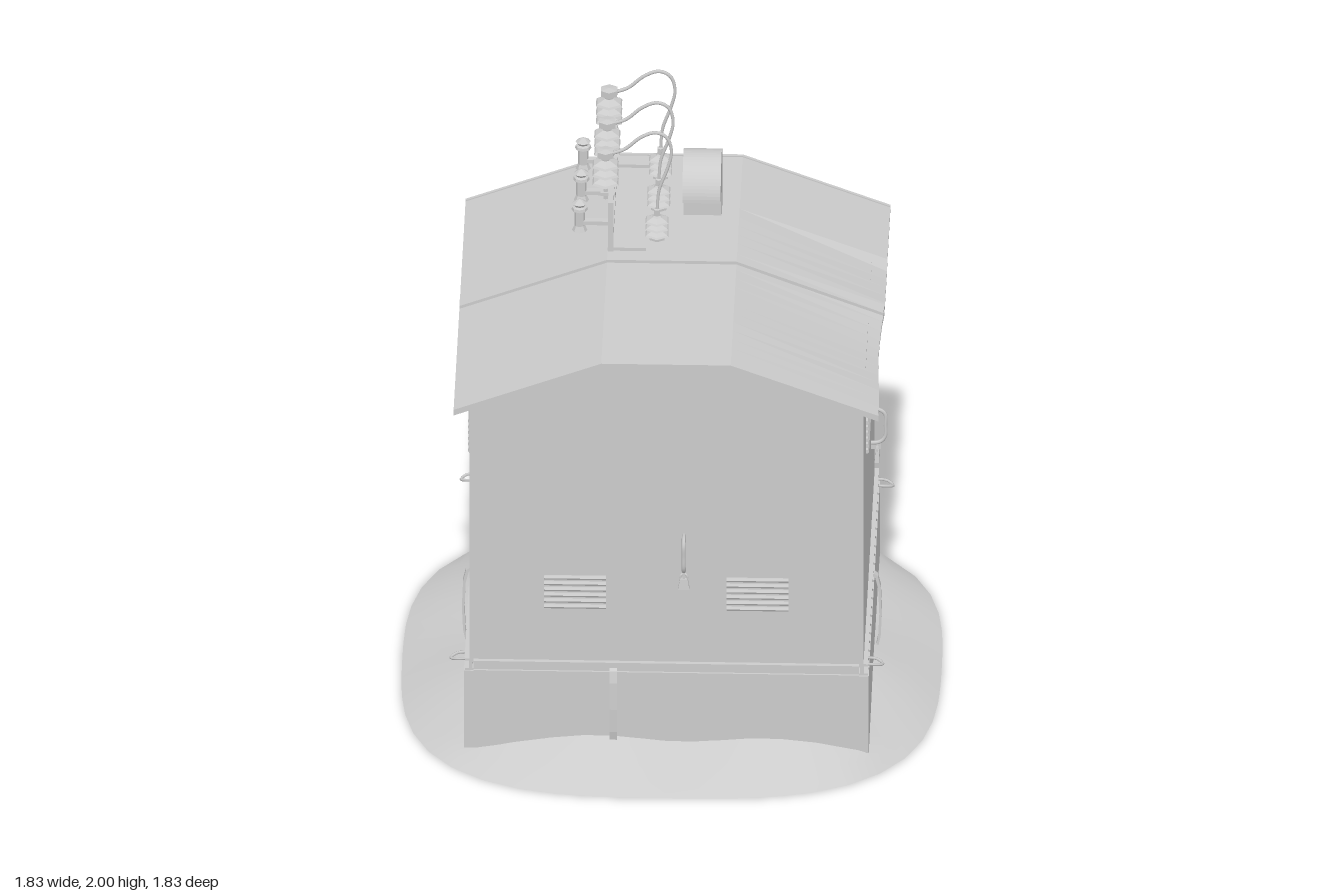
import * as THREE from 'three';

const mat = new THREE.MeshStandardMaterial({ color: 0xcccccc, side: THREE.DoubleSide, flatShading: true });
const smooth = new THREE.MeshStandardMaterial({ color: 0xcccccc, side: THREE.DoubleSide });

function add(parent, name, geo, x = 0, y = 0, z = 0, m = mat) {
  const mesh = new THREE.Mesh(geo, m);
  mesh.name = name;
  mesh.position.set(x, y, z);
  parent.add(mesh);
  return mesh;
}
const box = (p, name, w, h, d, x, y, z) => add(p, name, new THREE.BoxGeometry(w, h, d), x, y, z);

function group(parent, name, x = 0, y = 0, z = 0, ry = 0) {
  const g = new THREE.Group();
  g.name = name;
  g.position.set(x, y, z);
  g.rotation.y = ry;
  parent.add(g);
  return g;
}

function tube(p, name, pts, r, seg = 20, sides = 6) {
  const curve = new THREE.CatmullRomCurve3(pts.map(a => new THREE.Vector3(...a)), false, 'centripetal');
  return add(p, name, new THREE.TubeGeometry(curve, seg, r, sides), 0, 0, 0, smooth);
}
const polygon = pts => new THREE.Shape(pts.map(a => new THREE.Vector2(...a)));

// turned insulator or post: [radius, height] pairs, six or eight sided
function turned(p, name, pts, x, y, z, sides = 6) {
  return add(p, name, new THREE.LatheGeometry(pts.map(a => new THREE.Vector2(...a)), sides), x, y, z);
}

// stack of ribbed discs between two heights
function ribs(y0, n, step, core, radius) {
  const pts = [];
  for (let i = 0; i < n; i++) {
    const y = y0 + i * step;
    pts.push([core, y], [radius, y + step * 0.25], [radius * 0.9, y + step * 0.45], [core, y + step * 0.85]);
  }
  return pts;
}

// bent sheet following the roof profile, running from z0 to z1
function roofSheet(p, name, z0, z1, lift, thick, steps) {
  const top = [[-0.722, 1.393], [-0.22, 1.582], [0.22, 1.582], [0.722, 1.393]].map(([x, y]) => [x, y + lift]);
  const shape = polygon([...top, ...top.map(([x, y]) => [x, y - thick]).reverse()]);
  const geo = new THREE.ExtrudeGeometry(shape, { depth: z1 - z0, steps, bevelEnabled: false });
  geo.translate(0, 0, z0);
  const pos = geo.attributes.position;
  for (let i = 0; i < pos.count; i++) { // buckled eave on one side
    const z = pos.getZ(i);
    if (pos.getX(i) > 0.7 && z > -0.35 && z < 0.6) {
      const s = Math.abs(Math.sin((z + 0.03) * 5.2));
      pos.setY(i, pos.getY(i) - 0.014 * s);
      if (z > 0) pos.setX(i, pos.getX(i) - 0.012 * s);
    }
  }
  geo.computeVertexNormals();
  return add(p, name, geo);
}

// louvred vent, local +z is outward
function vent(parent, width, x, y, z, ry) {
  const g = group(parent, 'vent', x, y, z, ry);
  for (let i = 0; i < 6; i++) {
    const slat = add(g, 'ventSlat', new THREE.CylinderGeometry(0.008, 0.008, width, 6), 0, (i - 2.5) * 0.0225, 0.003);
    slat.rotation.z = Math.PI / 2;
  }
}

// door pull with padlock, local +z is outward
function handle(parent, x, z, ry) {
  const g = group(parent, 'doorHandle', x, 0, z, ry);
  tube(g, 'handleBar', [[0, 0.89, -0.01], [0, 0.89, 0.03], [0, 0.875, 0.048], [0, 0.83, 0.05],
    [0, 0.785, 0.048], [0, 0.765, 0.03], [0, 0.76, -0.01]], 0.007, 24);
  box(g, 'hasp', 0.008, 0.025, 0.04, 0, 0.75, 0.015);
  const shackle = add(g, 'padlockShackle', new THREE.TorusGeometry(0.012, 0.004, 5, 8, Math.PI), 0, 0.733, 0.022);
  shackle.scale.y = 1.4;
  const lock = add(g, 'padlock', new THREE.CylinderGeometry(0.018, 0.028, 0.04, 4, 1, false, Math.PI / 4), 0, 0.712, 0.022);
  lock.scale.z = 0.45;
}

// strap looped over the sill and down the plinth, local +z is outward
function strap(parent, x, z, ry) {
  const pts = [[-0.04, 0.365], [0.0, 0.372], [0.012, 0.362], [0.022, 0.32], [0.026, 0.22], [0.022, 0.13], [0.008, 0.06]];
  const shape = polygon([...pts, ...pts.map(([a, b]) => [a - 0.009, b - 0.006]).reverse()]);
  const geo = new THREE.ExtrudeGeometry(shape, { depth: 0.025, bevelEnabled: false });
  geo.rotateY(-Math.PI / 2).translate(0.0125, 0, 0);
  add(group(parent, 'strap', x, 0, z, ry), 'strapBand', geo);
}

// earth mound: ring from a rounded outline on the ground up to the plinth
function mound(parent) {
  const N = 48, pos = [], idx = [];
  for (let i = 0; i < N; i++) {
    const a = i / N * Math.PI * 2, c = Math.cos(a), s = Math.sin(a);
    const outer = 0.917 / Math.cbrt(Math.abs(c) ** 3 + Math.abs(s) ** 3);
    const inner = 0.665 / Math.max(Math.abs(c), Math.abs(s));
    const corner = Math.min(Math.abs(c), Math.abs(s)) / Math.max(Math.abs(c), Math.abs(s));
    const h = 0.1 - 0.035 * corner ** 3 + 0.012 * Math.sin(a * 7 + 0.6);
    for (const [t, y] of [[0, 0], [0.45, 0.5], [1, 1]]) {
      const r = outer + (inner - outer) * t;
      pos.push(c * r, h * y, s * r);
    }
    const j = (i + 1) % N;
    for (let k = 0; k < 2; k++) {
      const p = i * 3 + k, q = j * 3 + k;
      idx.push(p, p + 1, q, q, p + 1, q + 1);
    }
  }
  const geo = new THREE.BufferGeometry();
  geo.setAttribute('position', new THREE.Float32BufferAttribute(pos, 3));
  geo.setIndex(idx);
  geo.computeVertexNormals();
  add(parent, 'earthMound', geo, 0, 0, 0, smooth);
}

export function createModel() {
  const root = new THREE.Group();
  root.name = 'transformerKiosk';
  mound(root);

  // hollow plinth, sill beams and cabin walls
  const W = 0.67, PX = 0.688, PZ = 0.676;
  const gable = new THREE.ShapeGeometry(polygon([[-W, 0.38], [W, 0.38], [W, 1.405], [0.22, 1.575], [-0.22, 1.575], [-W, 1.405]]));
  for (const s of [-1, 1]) {
    add(root, 'gableWall', gable, 0, 0, s * W).rotation.y = s < 0 ? Math.PI : 0;
    add(root, 'sideWall', new THREE.PlaneGeometry(2 * W, 1.025), s * W, 0.8925, 0).rotation.y = s * Math.PI / 2;
    box(root, 'plinthEnd', 2 * PX, 0.3, 0.03, 0, 0.2, s * (PZ - 0.015));
    box(root, 'plinthSide', 0.03, 0.3, 2 * PZ, s * (PX - 0.015), 0.2, 0);
    for (const y of [0.354, 0.39]) { // channel flanges and web
      box(root, 'sillFlange', 1.31, 0.008, 0.05, 0, y, s * 0.66);
      box(root, 'sillFlange', 0.05, 0.008, 1.34, s * 0.66, y, 0);
    }
    box(root, 'sillWeb', 1.31, 0.036, 0.012, 0, 0.372, s * 0.672);
    box(root, 'sillWeb', 0.012, 0.036, 1.34, s * 0.665, 0.372, 0);
    // lifting hooks at the corners
    for (const z of [-0.61, 0.61]) {
      tube(root, 'liftingHook', [[s * 0.66, 0.375, z - 0.022], [s * 0.715, 0.37, z - 0.02], [s * 0.735, 0.362, z],
        [s * 0.715, 0.37, z + 0.02], [s * 0.66, 0.375, z + 0.022]], 0.005, 12, 5);
    }
  }
  strap(root, -0.18, PZ, 0);
  strap(root, -0.15, -PZ, Math.PI);
  strap(root, PX, 0, Math.PI / 2);
  strap(root, -PX, 0, -Math.PI / 2);

  // roof, end trims and middle seam
  roofSheet(root, 'roof', -0.715, 0.715, 0, 0.014, 24);
  roofSheet(root, 'roofTrim', -0.722, -0.71, 0.004, 0.022, 1);
  roofSheet(root, 'roofTrim', 0.71, 0.722, 0.004, 0.022, 1);
  roofSheet(root, 'roofSeam', -0.028, 0.024, 0.011, 0.025, 1);

  // vents and handles
  for (const x of [-0.31, 0.31]) {
    vent(root, 0.21, x, 0.663, W, 0);
    vent(root, 0.21, x, 1.122, -W, Math.PI);
    vent(root, 0.23, -W, 1.122, x, -Math.PI / 2);
  }
  vent(root, 0.25, W, 1.122, 0.265, Math.PI / 2);
  handle(root, 0.06, W, 0);
  handle(root, W, -0.205, Math.PI / 2);

  // hooded roof ventilator, opening toward the front
  const hood = new THREE.Shape();
  hood.moveTo(0.435, 1.575);
  hood.lineTo(0.435, 1.7);
  hood.absarc(0.31, 1.7, 0.125, 0, Math.PI, false);
  hood.lineTo(0.295, 1.7);
  hood.quadraticCurveTo(0.31, 1.7, 0.31, 1.68);
  hood.lineTo(0.31, 1.575);
  const hoodGeo = new THREE.ExtrudeGeometry(hood, { depth: 0.13, bevelEnabled: false, curveSegments: 16 });
  hoodGeo.rotateY(Math.PI / 2);
  add(root, 'roofVentilator', hoodGeo, 0.03, 0, 0);

  // insulator rack
  const rack = group(root, 'insulatorRack');
  for (const z of [-0.062, -0.63]) {
    box(rack, 'rackPost', 0.018, 0.19, 0.018, -0.21, 1.675, z);
    box(rack, 'rackFoot', 0.13, 0.012, 0.014, -0.155, 1.59, z);
  }
  box(rack, 'rackTopRail', 0.018, 0.018, 0.586, -0.21, 1.763, -0.346);
  box(rack, 'rackLowerRail', 0.018, 0.02, 0.586, -0.21, 1.637, -0.346);

  // one phase: line insulator, arrester, roof bushing and jumper wire
  for (const z of [-0.15, -0.355, -0.57]) {
    const phase = group(root, 'phase', 0, 0, z);
    box(phase, 'insulatorArm', 0.05, 0.012, 0.03, -0.222, 1.757, 0);
    turned(phase, 'lineInsulator', [[0, 1.735], [0.009, 1.735], [0.009, 1.79], ...ribs(1.79, 3, 0.034, 0.016, 0.051),
      [0.018, 1.9], [0.032, 1.9], [0.032, 1.922], [0, 1.926]], -0.23, 0, 0);
    box(phase, 'arresterArm', 0.1, 0.014, 0.024, -0.26, 1.642, 0);
    turned(phase, 'arrester', [[0, 1.61], [0.026, 1.61], [0.018, 1.63], [0.018, 1.685], [0.028, 1.69], [0.026, 1.7],
      [0.018, 1.705], [0.026, 1.715], [0.012, 1.725], [0, 1.73]], -0.318, 0, 0, 8);
    turned(phase, 'roofBushing', [[0.03, 1.575], [0.03, 1.592], ...ribs(1.592, 3, 0.026, 0.018, 0.045),
      [0.012, 1.672], [0.012, 1.695], [0, 1.7]], -0.055, 0, 0);
    tube(phase, 'jumperWire', [[-0.21, 1.91, 0], [-0.165, 1.928, 0], [-0.11, 1.975, 0], [-0.06, 1.994, 0], [-0.022, 1.975, 0],
      [-0.006, 1.92, 0], [-0.018, 1.86, 0], [-0.048, 1.77, 0], [-0.055, 1.69, 0]], 0.006, 36);
  }
  return root;
}
